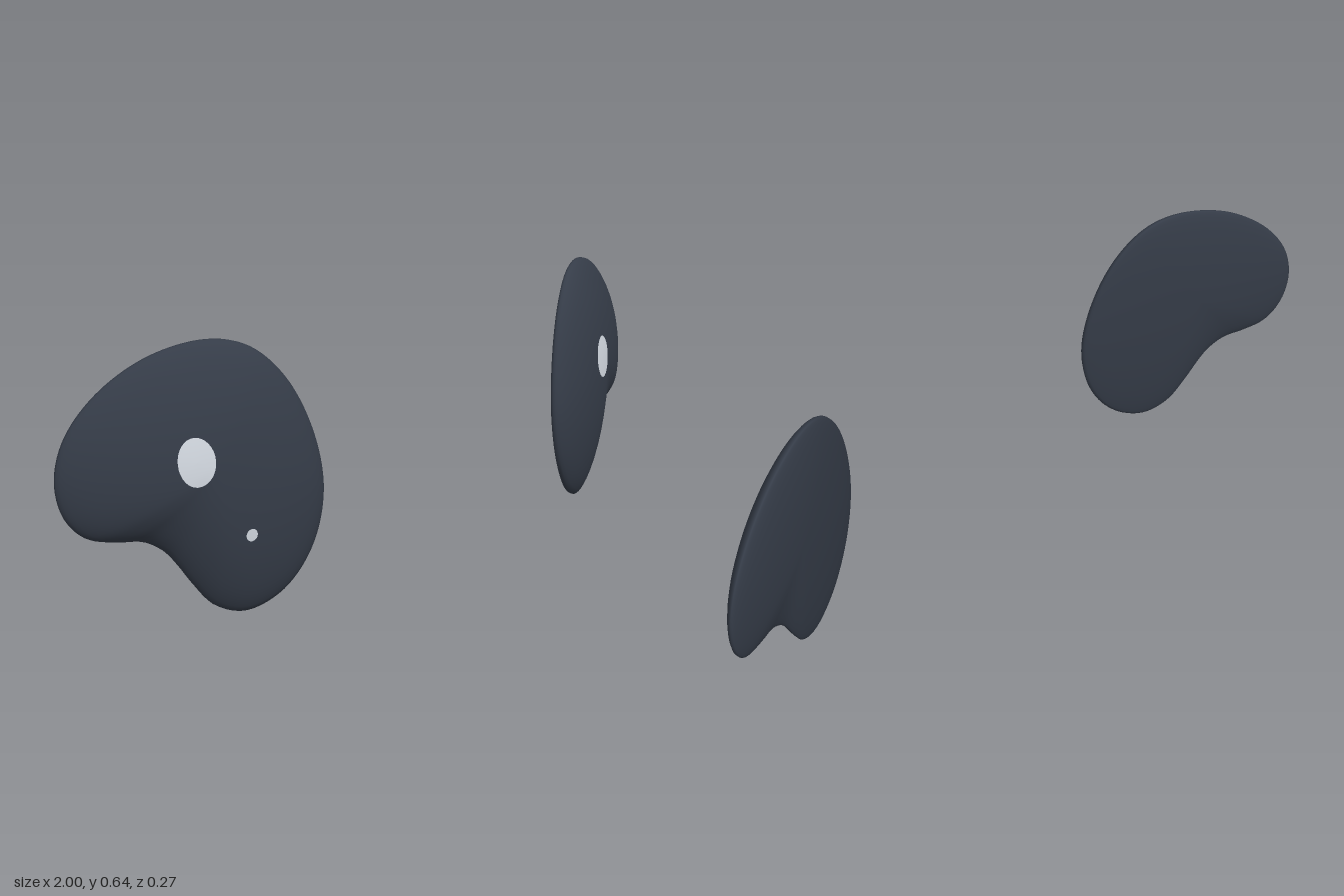
import * as THREE from 'three';
import { mergeVertices } from 'three/addons/utils/BufferGeometryUtils.js';

// Kidney-shaped outline of the +x plate, clockwise from the top
const OUTLINE = [
  [0.66, 0.637], [0.785, 0.612], [0.9, 0.54], [0.975, 0.445], [1.0, 0.35], [0.985, 0.268], [0.945, 0.22],
  [0.885, 0.203], [0.83, 0.196], [0.785, 0.168], [0.755, 0.128], [0.729, 0.085], [0.68, 0.022], [0.615, 0],
  [0.53, 0.035], [0.46, 0.125], [0.425, 0.26], [0.443, 0.41], [0.5, 0.54], [0.575, 0.615],
];
const CENTER = new THREE.Vector2(0.71, 0.365);
const N = 120;
const curve = new THREE.CatmullRomCurve3(OUTLINE.map(([x, y]) => new THREE.Vector3(x, y, 0)), true);
const edge = curve.getSpacedPoints(N).slice(0, N);

// Tilted mid plane of a plate, and the domes on its two faces (t = 0 centre, 1 rim)
const plane = (x, y) => -0.416 * (x - 0.66) - 0.057 * (y - 0.637);
const swell = (t) => Math.max(0, 1 - t * t) ** 0.7;
const front = (t) => 0.003 + 0.083 * swell(t);
const back = (t) => -0.003 - 0.033 * swell(t);

// Relative distance of a point from the centre to the rim
function rimRatio(x, y) {
  const dx = x - CENTER.x, dy = y - CENTER.y;
  for (let j = 0; j < N; j++) {
    const a = edge[j], b = edge[(j + 1) % N];
    const ax = a.x - CENTER.x, ay = a.y - CENTER.y, ex = b.x - a.x, ey = b.y - a.y;
    const det = dx * ey - dy * ex;
    if (Math.abs(det) < 1e-12) continue;
    const r = (ax * ey - ay * ex) / det, u = (ax * dy - ay * dx) / det;
    if (r > 0 && u >= 0 && u <= 1) return 1 / r;
  }
  return 0;
}

// Lens-like plate built from rings running from front centre over the rim to back centre
function plateGeometry(side) {
  const ts = [0, 0.1, 0.2, 0.3, 0.4, 0.5, 0.6, 0.7, 0.8, 0.87, 0.92, 0.96, 0.985, 1];
  const rings = [
    ...ts.map((t) => [t, front(t)]),
    ...ts.slice().reverse().map((t) => [t, back(t)]),
  ];
  const pos = [], idx = [];
  for (const [t, off] of rings) {
    for (const p of edge) {
      const x = CENTER.x + (p.x - CENTER.x) * t, y = CENTER.y + (p.y - CENTER.y) * t;
      pos.push(side * x, y, plane(x, y) + off);
    }
  }
  for (let i = 0; i < rings.length - 1; i++) {
    for (let j = 0; j < N; j++) {
      const k = (j + 1) % N;
      const a = i * N + j, b = i * N + k, c = a + N, d = b + N;
      if (side > 0) idx.push(a, b, c, b, d, c);
      else idx.push(a, c, b, b, c, d);
    }
  }
  let g = new THREE.BufferGeometry();
  g.setAttribute('position', new THREE.Float32BufferAttribute(pos, 3));
  g.setIndex(idx);
  g = mergeVertices(g);
  g.computeVertexNormals();
  return g;
}

// Thin oval laid just above the front face
function spotGeometry(cx, cy, rx, ry) {
  const g = new THREE.RingGeometry(0.001, 1, 32, 4);
  const p = g.attributes.position;
  for (let i = 0; i < p.count; i++) {
    const x = cx + p.getX(i) * rx, y = cy + p.getY(i) * ry, ax = Math.abs(x);
    p.setXYZ(i, x, y, plane(ax, y) + front(rimRatio(ax, y)) + 0.005);
  }
  g.computeVertexNormals();
  return g;
}

export function createModel() {
  const dark = new THREE.MeshStandardMaterial({ color: 0x353c48 });
  dark.name = 'dark slate';
  const light = new THREE.MeshStandardMaterial({ color: 0xd4dae2 });
  light.name = 'pale grey';

  const model = new THREE.Group();
  model.name = 'eyePair';
  const add = (parent, name, geometry, material) => {
    const mesh = new THREE.Mesh(geometry, material);
    mesh.name = name;
    parent.add(mesh);
  };

  // Plates are mirrored, highlights sit on the same side of each eye
  const eyes = [
    { name: 'leftEye', side: 1, big: 0.66, small: 0.777 },
    { name: 'rightEye', side: -1, big: -0.755, small: -0.64 },
  ];
  for (const { name, side, big, small } of eyes) {
    const eye = new THREE.Group();
    eye.name = name;
    add(eye, 'eyePlate', plateGeometry(side), dark);
    add(eye, 'largeHighlight', spotGeometry(big, 0.384, 0.039, 0.056), light);
    add(eye, 'smallHighlight', spotGeometry(small, 0.2, 0.013, 0.015), light);
    model.add(eye);
  }
  return model;
}
